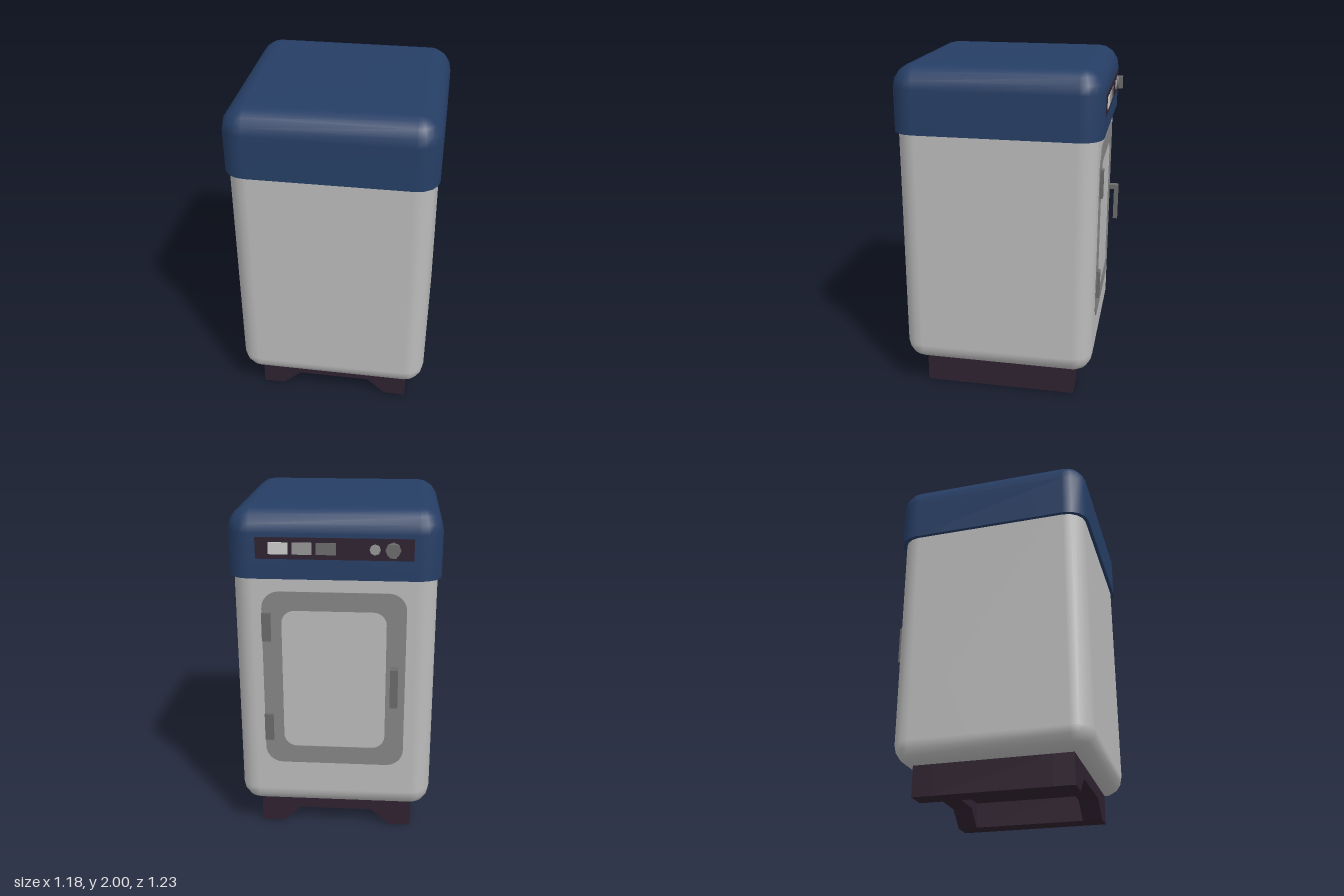
import * as THREE from 'three';

const mat = (name, color) => {
  const m = new THREE.MeshStandardMaterial({ color });
  m.name = name;
  return m;
};

// Outline of a rounded rectangle, centred on cx, cy
function roundRect(Type, hx, hy, r, cx = 0, cy = 0) {
  const s = new Type();
  const corners = [[1, 1], [-1, 1], [-1, -1], [1, -1]];
  corners.forEach(([sx, sy], i) =>
    s.absarc(cx + sx * (hx - r), cy + sy * (hy - r), r, i * Math.PI / 2, (i + 1) * Math.PI / 2, false));
  s.closePath();
  return s;
}

// Block with rounded upright edges and optionally rounded bottom and top rims
function roundedBlock(hx, hz, y0, y1, r, roundBottom, roundTop) {
  const seg = 4, rings = [];
  const levels = (base, dir) => {
    const out = [];
    for (let i = 0; i <= seg; i++) {
      const a = (i / seg) * Math.PI / 2;
      out.push([base + dir * r * (1 - Math.sin(a)), r * (1 - Math.cos(a))]);
    }
    return out;
  };
  // A repeated ring makes a sharp rim
  rings.push(...(roundBottom ? levels(y0, 1).reverse().sort((a, b) => a[0] - b[0]) : [[y0, 0], [y0, 0]]));
  rings.push(...(roundTop ? levels(y1, -1).sort((a, b) => a[0] - b[0]) : [[y1, 0], [y1, 0]]));

  const pos = [], idx = [], n = 4 * (seg + 1);
  for (const [y, inset] of rings) {
    const rr = Math.max(r - inset, 0.004);
    for (let q = 0; q < 4; q++) {
      const sx = q === 0 || q === 3 ? 1 : -1, sz = q < 2 ? 1 : -1;
      for (let i = 0; i <= seg; i++) {
        const a = (q + i / seg) * Math.PI / 2;
        pos.push(sx * (hx - r) + rr * Math.cos(a), y, sz * (hz - r) + rr * Math.sin(a));
      }
    }
  }
  for (let j = 0; j < rings.length - 1; j++) {
    if (rings[j][0] === rings[j + 1][0]) continue;
    for (let i = 0; i < n; i++) {
      const a = j * n + i, b = j * n + (i + 1) % n;
      idx.push(a, a + n, b, b, a + n, b + n);
    }
  }
  const last = (rings.length - 1) * n, c = pos.length / 3;
  pos.push(0, y0, 0, 0, y1, 0);
  for (let i = 0; i < n; i++) {
    const k = (i + 1) % n;
    idx.push(c, i, k, c + 1, last + k, last + i);
  }
  const g = new THREE.BufferGeometry();
  g.setAttribute('position', new THREE.Float32BufferAttribute(pos, 3));
  g.setIndex(idx);
  g.computeVertexNormals();
  return g;
}

export function createModel() {
  const model = new THREE.Group();
  model.name = 'cabinet';
  const grey = mat('light grey', 0xbcbcbc);
  const blue = mat('navy blue', 0x263e65);
  const dark = mat('dark plum', 0x2f2230);
  const frameGrey = mat('frame grey', 0x868686);
  const metal = mat('metal grey', 0x6b6b6b);
  const pale = mat('pale grey', 0xcdcdcd);
  const mid = mat('mid grey', 0x979797);

  const add = (name, geo, material, x = 0, y = 0, z = 0, parent = model) => {
    const m = new THREE.Mesh(geo, material);
    m.name = name;
    m.position.set(x, y, z);
    parent.add(m);
    return m;
  };
  const box = (name, material, x0, x1, y0, y1, z0, z1, parent = model) =>
    add(name, new THREE.BoxGeometry(x1 - x0, y1 - y0, z1 - z0), material,
      (x0 + x1) / 2, (y0 + y1) / 2, (z0 + z1) / 2, parent);

  // Main shell and lid
  add('body', roundedBlock(0.57, 0.5725, 0.18, 1.75, 0.115, true, false), grey, 0, 0, 0.0225);
  add('lid', roundedBlock(0.592, 0.595, 1.617, 2, 0.13, false, true), blue, 0, 0, 0.02);

  // Plinth: notched front and back walls, solid sides, hollow underneath
  const plinth = new THREE.Group();
  plinth.name = 'plinth';
  model.add(plinth);
  const notch = new THREE.Shape([[-0.46, 0], [-0.33, 0], [-0.22, 0.1], [0.22, 0.1], [0.33, 0],
    [0.46, 0], [0.46, 0.185], [-0.46, 0.185]].map(p => new THREE.Vector2(...p)));
  const wall = new THREE.ExtrudeGeometry(notch, { depth: 0.12, bevelEnabled: false });
  add('plinthFront', wall, dark, 0, 0, 0.36, plinth);
  add('plinthBack', wall, dark, 0, 0, -0.44, plinth);
  for (const s of [-1, 1]) {
    const x = s * 0.395;
    box('plinthSide', dark, x - 0.065, x + 0.065, 0, 0.185, -0.32, 0.36, plinth);
  }
  box('plinthCeiling', dark, -0.33, 0.33, 0.155, 0.185, -0.32, 0.36, plinth);

  // Door frame on the back, with the panel showing through it
  const door = new THREE.Group();
  door.name = 'door';
  model.add(door);
  const frame = roundRect(THREE.Shape, 0.405, 0.53, 0.1, 0, 1.01);
  frame.holes.push(roundRect(THREE.Path, 0.295, 0.42, 0.075, 0, 1.01));
  add('doorFrame', new THREE.ExtrudeGeometry(frame, { depth: 0.006, bevelEnabled: false, curveSegments: 4 }),
    frameGrey, 0, 0, -0.554, door);
  for (const y of [0.715, 1.335]) box('hinge', metal, 0.355, 0.405, y - 0.083, y + 0.083, -0.572, -0.548, door);
  box('handleGrip', metal, -0.365, -0.32, 0.88, 1.11, -0.615, -0.588, door);
  box('handleArm', metal, -0.365, -0.32, 1.083, 1.11, -0.588, -0.548, door);

  // Control strip on the lid
  const controls = new THREE.Group();
  controls.name = 'controls';
  model.add(controls);
  box('controlPanel', dark, -0.435, 0.425, 1.73, 1.85, -0.577, -0.573, controls);
  [pale, mid, metal].forEach((m, i) => {
    const x = 0.3 - i * 0.13;
    box('button', m, x - 0.054, x + 0.054, 1.757, 1.823, -0.581, -0.576, controls);
  });
  const dial = (name, r, depth, x, m, z) => {
    const g = new THREE.CylinderGeometry(r, r, depth, 8).rotateX(Math.PI / 2);
    return add(name, g, m, x, 1.79, z - depth / 2, controls);
  };
  dial('smallKnob', 0.03, 0.008, -0.225, mid, -0.575);
  dial('largeKnob', 0.042, 0.018, -0.322, metal, -0.575);
  box('largeKnobGrip', metal, -0.343, -0.301, 1.753, 1.827, -0.615, -0.59, controls);
  return model;
}
